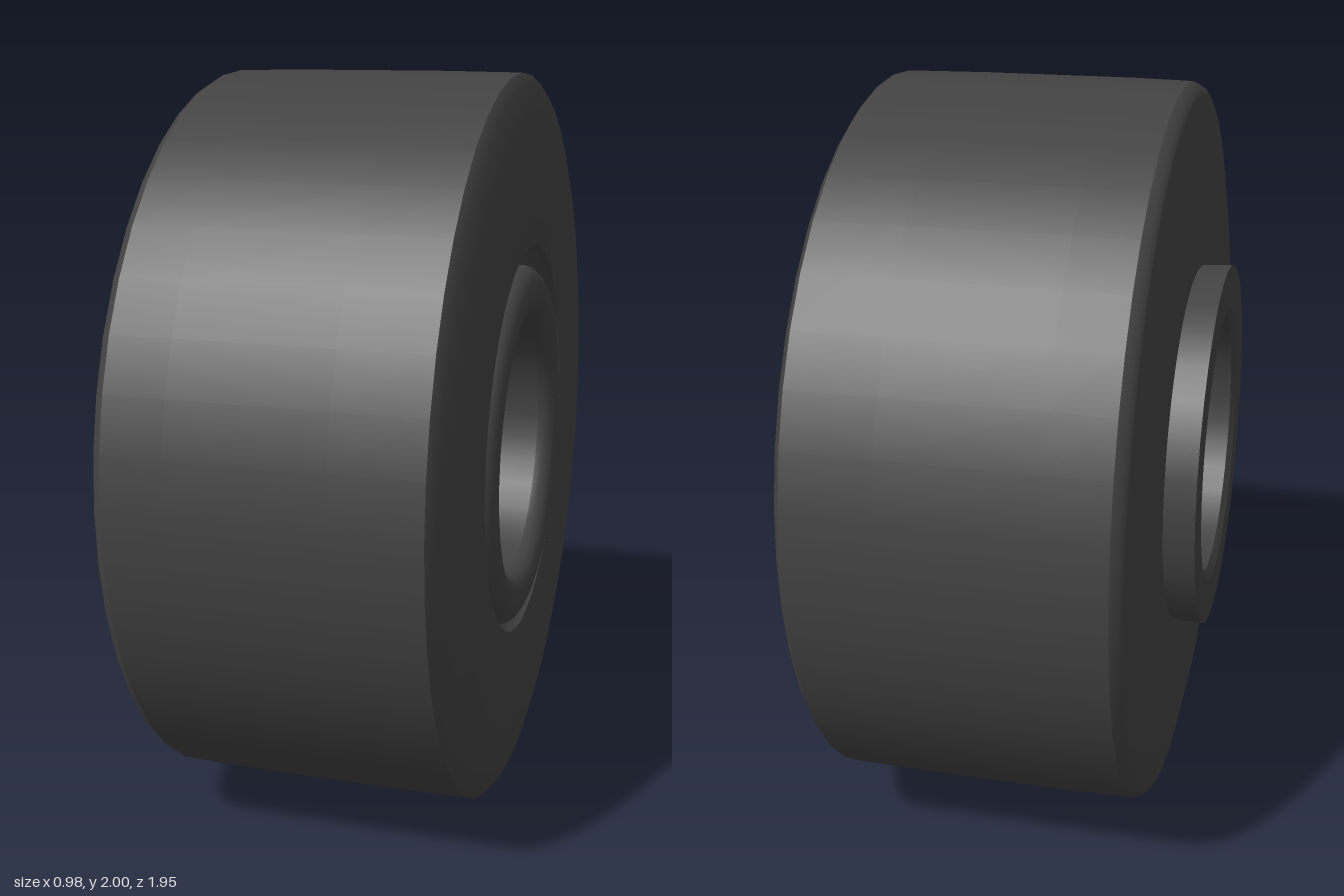
import * as THREE from 'three';

export function createModel() {
  const model = new THREE.Group();
  model.name = 'wheel';
  const rubber = new THREE.MeshStandardMaterial({ color: 0x424242 });
  rubber.name = 'dark grey rubber';

  // Spins a list of [radius, x] points round the axle (x axis)
  function spin(name, points, segments, parent) {
    const geometry = new THREE.LatheGeometry(points.map(([r, x]) => new THREE.Vector2(r, x)), segments);
    geometry.rotateZ(-Math.PI / 2);
    const mesh = new THREE.Mesh(geometry, rubber);
    mesh.name = name;
    parent.add(mesh);
  }

  // Tyre: each section is smooth, with a crease where sections meet
  const tyre = new THREE.Group();
  tyre.name = 'tyre';
  spin('innerSidewall', [[0.48, -0.405], [0.56, -0.415], [0.8, -0.42], [0.965, -0.39]], 44, tyre);
  spin('innerShoulder', [[0.965, -0.39], [0.985, -0.38], [0.997, -0.36]], 44, tyre);
  spin('tread', [[0.997, -0.36], [1, -0.2], [1, 0.2], [0.997, 0.43]], 44, tyre);
  spin('outerShoulder', [[0.997, 0.43], [0.97, 0.45], [0.9, 0.468], [0.8, 0.486]], 44, tyre);
  spin('outerSidewall', [[0.8, 0.486], [0.68, 0.484], [0.54, 0.468]], 44, tyre);
  // Groove between tyre and hub, running under the rim
  spin('groove', [[0.54, 0.468], [0.525, 0.43], [0.47, 0.425]], 44, tyre);
  tyre.scale.set(1, 0.998, 0.973);
  model.add(tyre);

  // Outer hub: rounded rim round a dished opening
  const outerHub = new THREE.Group();
  outerHub.name = 'outerHub';
  const rim = [[0.5, 0.4]];
  for (let i = 0; i <= 8; i++) {
    const a = (i / 8) * Math.PI;
    rim.push([0.432 + 0.068 * Math.cos(a), 0.435 + 0.05 * Math.sin(a)]);
  }
  spin('rim', rim, 32, outerHub);
  spin('outerHubWall', [[0.364, 0.435], [0.355, 0.29]], 32, outerHub);
  spin('hubFloor', [[0.355, 0.29], [0.21, 0.305]], 32, outerHub);
  // Shallow domed cap at the axle
  spin('axleCap', [[0.215, 0.302], [0.21, 0.335], [0.15, 0.355], [0.07, 0.363], [0, 0.365]], 28, outerHub);
  outerHub.position.set(0, -0.018, 0.01);
  model.add(outerHub);

  // Inner hub: deep opening inside a raised collar
  const innerHub = new THREE.Group();
  innerHub.name = 'innerHub';
  spin('innerHubFloor', [[0, 0.2], [0.35, 0.2]], 32, innerHub);
  spin('innerHubWall', [[0.35, 0.2], [0.36, -0.475]], 32, innerHub);
  spin('collarBevel', [[0.36, -0.475], [0.385, -0.49]], 32, innerHub);
  spin('collarFace', [[0.385, -0.49], [0.505, -0.49]], 32, innerHub);
  spin('collarSide', [[0.505, -0.49], [0.5, -0.4]], 32, innerHub);
  innerHub.position.set(0, -0.003, 0.018);
  model.add(innerHub);

  model.position.y = 1.002;
  const root = new THREE.Group();
  root.name = 'wheelModel';
  root.add(model);
  return root;
}
